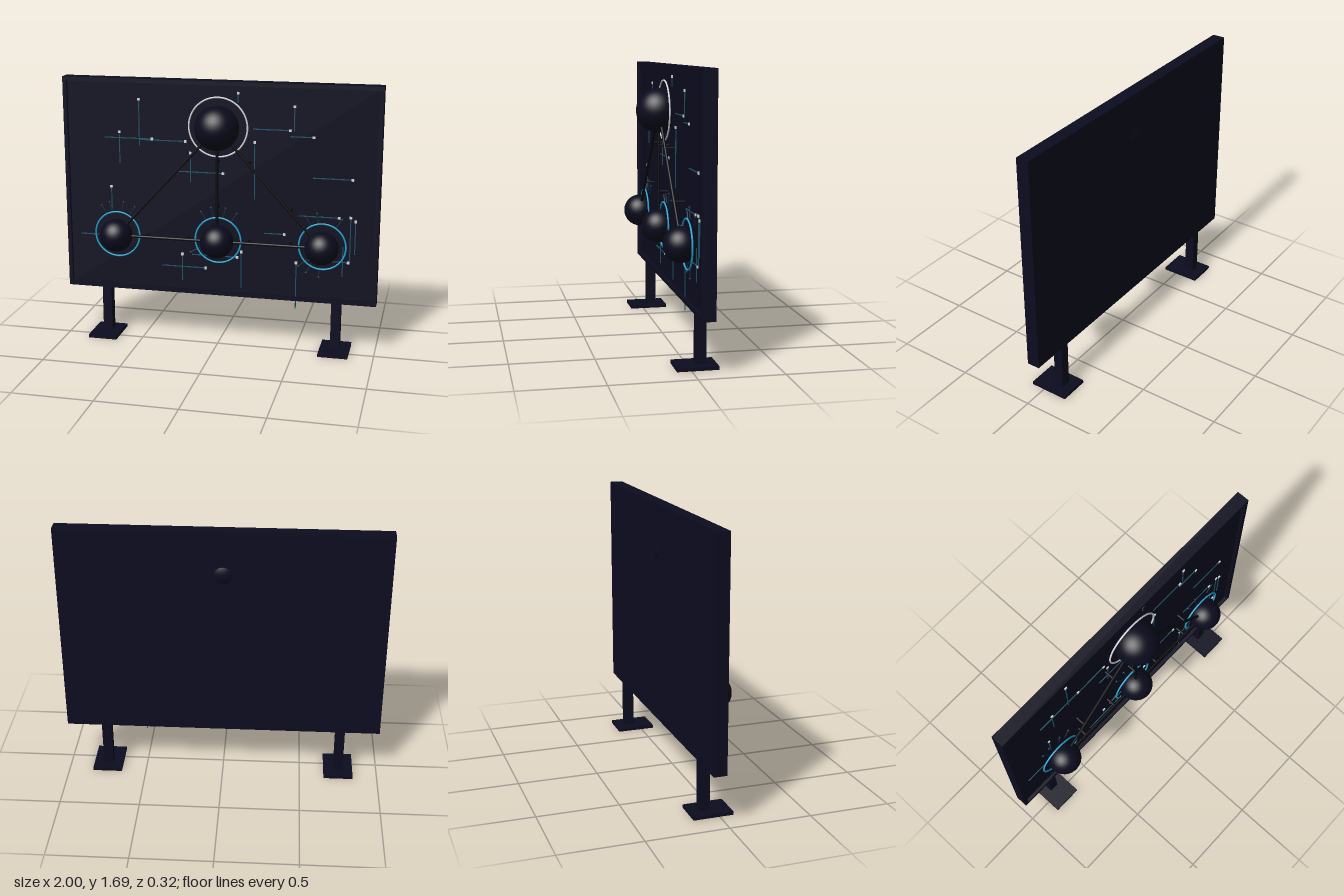
import * as THREE from 'three';

const mat = (name, color, extra = {}) => {
  const m = new THREE.MeshStandardMaterial({ color, ...extra });
  m.name = name;
  return m;
};

export function createModel() {
  const root = new THREE.Group();
  root.name = 'networkBoard';
  const navy = mat('dark navy', 0x0c0c20);
  const sphereNavy = mat('sphere navy', 0x0b0b1e);
  const black = mat('rod black', 0x06070d);
  const cyan = mat('bright cyan', 0x22aad8);
  const white = mat('soft white', 0xd8d8e0);
  const teal = mat('trace teal', 0x1c5366);
  const dim = mat('dim teal', 0x162c3c);

  const add = (name, geo, material, x = 0, y = 0, z = 0) => {
    const mesh = new THREE.Mesh(geo, material);
    mesh.name = name;
    mesh.position.set(x, y, z);
    root.add(mesh);
    return mesh;
  };
  const box = (name, w, h, d, material, x, y, z) =>
    add(name, new THREE.BoxGeometry(w, h, d), material, x, y, z);
  const rod = (name, a, b, r, material) => {
    const dir = b.clone().sub(a);
    const m = add(name, new THREE.CylinderGeometry(r, r, dir.length(), 10), material);
    m.position.copy(a).add(b).multiplyScalar(0.5);
    m.quaternion.setFromUnitVectors(new THREE.Vector3(0, 1, 0), dir.normalize());
  };

  // Recessed panel and its raised border
  box('panel', 1.96, 1.33, 0.06, navy, 0, 1.005, -0.07);
  for (const s of [-1, 1]) {
    box('frameRail', 2, 0.025, 0.08, navy, 0, 1.005 + s * 0.6725, -0.06);
    box('frameSide', 0.025, 1.32, 0.08, navy, s * 0.9875, 1.005, -0.06);
    // Posts and feet
    box('post', 0.06, 0.35, 0.06, navy, s * 0.75, 0.185, -0.068);
    box('foot', 0.187, 0.02, 0.245, navy, s * 0.75, 0.01, -0.0375);
  }

  // Spheres with glowing rings: x, y, sphere radius, ring radius, colour
  const nodes = [
    [0, 1.41, 0.137, 0.184, white],
    [-0.658, 0.69, 0.105, 0.146, cyan],
    [0, 0.69, 0.105, 0.146, cyan],
    [0.658, 0.69, 0.105, 0.146, cyan],
  ];
  for (const [x, y, r, ring, color] of nodes) {
    add('sphere', new THREE.SphereGeometry(r, 40, 28), sphereNavy, x, y, 0.025);
    add('ring', new THREE.TorusGeometry(ring, 0.0055, 8, 64), color, x, y, -0.01);
  }

  // Connecting rods, each held off the panel by two pegs
  const centre = i => new THREE.Vector3(nodes[i][0], nodes[i][1], 0.022);
  for (const [i, j] of [[0, 1], [0, 2], [0, 3], [1, 2], [2, 3]]) {
    const a = centre(i), b = centre(j);
    rod('connector', a, b, 0.009, black);
    for (const t of [0.3, 0.7]) {
      const p = a.clone().lerp(b, t);
      rod('standoff', p, p.clone().setZ(-0.05), 0.008, black);
    }
  }

  // Short radial whiskers with a dot at the tip, angles in degrees
  const whiskers = [[], [122, 106, 80, 58], [124, 104, 78, 56, 208], [121, 101, 56, 224, 241, 264]];
  whiskers.forEach((angles, i) => angles.forEach(deg => {
    const a = THREE.MathUtils.degToRad(deg);
    const at = r => new THREE.Vector3(nodes[i][0] + r * Math.cos(a), nodes[i][1] + r * Math.sin(a), -0.034);
    rod('whisker', at(0.14), at(0.205), 0.004, dim);
    const tip = at(0.208);
    add('whiskerTip', new THREE.SphereGeometry(0.008, 8, 6), dim, tip.x, tip.y, tip.z);
  }));

  // Circuit traces: the pad sits at the first coordinate along the line
  const pad = (x, y) => box('pad', 0.016, 0.016, 0.008, white, x, y, -0.036);
  // x, pad y, end y
  const vertical = [
    [-0.51, 1.56, 1.27], [-0.64, 1.35, 1.15], [0.12, 1.62, 1.56], [0.468, 1.55, 1.4],
    [0.225, 1.32, 0.955], [-0.182, 1.235, 1.05], [-0.7, 0.995, 0.84], [-0.238, 0.575, 0.4],
    [0.144, 0.615, 0.375], [0.856, 0.855, 0.645], [0.826, 0.877, 0.595], [0.494, 0.567, 0.265],
    [0.783, 0.69, 0.495],
  ];
  vertical.forEach(([x, y0, y1], i) => {
    box('trace', 0.006, Math.abs(y1 - y0), 0.006, teal, x, (y0 + y1) / 2, -0.038);
    if (i < 12) pad(x, y0);
  });
  // y, pad x, end x
  const horizontal = [
    [1.313, -0.428, -0.738], [1.307, -0.214, -0.513], [1.403, 0.444, 0.214], [1.366, 0.588, 0.444],
    [1.115, 0.027, -0.257], [1.115, 0.83, 0.588], [0.492, -0.086, -0.374], [0.577, 0.118, -0.176],
    [0.746, 0.417, 0.289], [0.872, 0.754, 0.508], [0.59, 0.818, 0.567], [0.671, -0.75, -0.914],
  ];
  horizontal.forEach(([y, x0, x1], i) => {
    box('trace', Math.abs(x1 - x0), 0.006, 0.006, teal, (x0 + x1) / 2, y, -0.038);
    if (i < 11) pad(x0, y);
  });

  return root;
}
